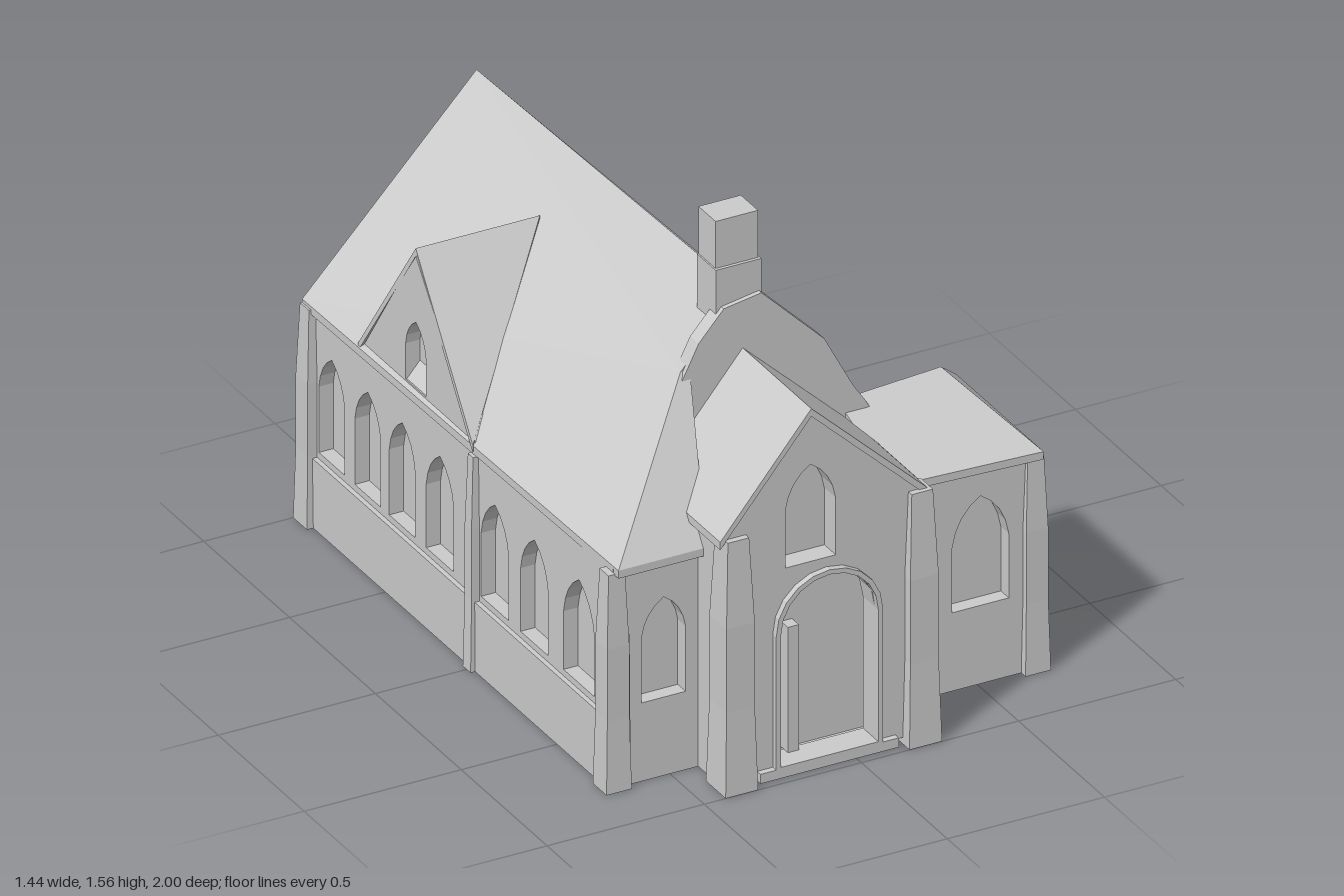
import * as THREE from 'three';

const mat = new THREE.MeshStandardMaterial({ color: 0xcccccc, flatShading: true, side: THREE.DoubleSide });

function add(parent, name, geometry, x = 0, y = 0, z = 0) {
  const m = new THREE.Mesh(geometry, mat);
  m.name = name;
  m.position.set(x, y, z);
  parent.add(m);
  return m;
}

// Pointed-arch outline centred on u, from y0 to the tip y1
function arch(u, w, y0, y1) {
  const h = w / 2, spring = y1 - w * 0.8;
  const p = new THREE.Path();
  p.moveTo(u - h, y0);
  p.lineTo(u + h, y0);
  p.lineTo(u + h, spring);
  p.quadraticCurveTo(u + h * 0.85, y1 - w * 0.25, u, y1);
  p.quadraticCurveTo(u - h * 0.85, y1 - w * 0.25, u - h, spring);
  p.closePath();
  return p;
}

// Round-headed doorway outline
function doorway(u, r, y0, spring) {
  const p = new THREE.Path();
  p.moveTo(u - r, y0);
  p.lineTo(u + r, y0);
  p.lineTo(u + r, spring);
  p.absarc(u, spring, r, 0, Math.PI, false);
  p.closePath();
  return p;
}

// Wall drawn in (u, y), facing local +z, with recessed panes behind its arches.
// windows: [u, width, bottom, top]; open: paths cut right through
function wall(parent, name, points, windows = [], depth = 0.05, open = []) {
  const g = new THREE.Group();
  g.name = name;
  const shape = new THREE.Shape(points.map(p => new THREE.Vector2(...p)));
  shape.holes.push(...windows.map(w => arch(...w)), ...open);
  const geo = new THREE.ExtrudeGeometry(shape, { depth, bevelEnabled: false, curveSegments: 4 });
  add(g, name + 'Stone', geo, 0, 0, -depth);
  windows.forEach(w => {
    const pane = new THREE.ShapeGeometry(new THREE.Shape(arch(...w).getPoints(4)));
    add(g, 'pane', pane, 0, 0, -depth + 0.004);
  });
  parent.add(g);
  return g;
}

// Thin slab on a 3D polygon (fanned from its first corner), thickened downwards
function slab(parent, name, top, t = 0.025) {
  const low = top.map(([x, y, z]) => [x, y - t, z]), n = top.length, v = [];
  for (let i = 1; i < n - 1; i++) {
    v.push(...top[0], ...top[i], ...top[i + 1]);
    v.push(...low[0], ...low[i + 1], ...low[i]);
  }
  for (let i = 0; i < n; i++) {
    const j = (i + 1) % n;
    v.push(...top[i], ...low[i], ...low[j], ...top[i], ...low[j], ...top[j]);
  }
  const geo = new THREE.BufferGeometry();
  geo.setAttribute('position', new THREE.Float32BufferAttribute(v, 3));
  geo.computeVertexNormals();
  add(parent, name, geo);
}

// Buttress: a box whose top narrows and foot flares
function buttress(parent, name, x, z, w, d, h) {
  const geo = new THREE.BoxGeometry(w, h, d, 1, 3, 1);
  const p = geo.attributes.position;
  for (let i = 0; i < p.count; i++) {
    const y = p.getY(i) / h + 0.5;
    const s = y < 0.1 ? 1.15 : y > 0.9 ? 0.75 : 1;
    p.setXYZ(i, p.getX(i) * s, p.getY(i), p.getZ(i) * s);
  }
  geo.computeVertexNormals();
  add(parent, name, geo, x, h / 2, z);
}

export function createModel() {
  const model = new THREE.Group();
  model.name = 'chapel';
  const Q = Math.PI / 2;

  // Nave walls
  const nave = new THREE.Group();
  nave.name = 'nave';
  model.add(nave);
  const left = wall(nave, 'naveLeftWall', [[-0.3, 0], [0.985, 0], [0.98, 0.71], [-0.3, 0.71]],
    [[-0.165, 0.19, 0.25, 0.57], [0.27, 0.17, 0.24, 0.57], [0.5, 0.17, 0.24, 0.57], [0.72, 0.22, 0.24, 0.61]]);
  left.rotation.y = Q;
  left.position.x = 0.355;
  const right = wall(nave, 'naveRightWall',
    [[-0.985, 0], [0.81, 0], [0.8, 0.71], [0, 0.71], [-0.35, 1.14], [-0.67, 0.71], [-0.98, 0.71]],
    [[-0.84, 0.15, 0.24, 0.57], [-0.63, 0.15, 0.24, 0.57], [-0.43, 0.15, 0.24, 0.57], [-0.21, 0.16, 0.24, 0.57],
      [0.11, 0.16, 0.24, 0.57], [0.34, 0.16, 0.24, 0.57], [0.6, 0.18, 0.24, 0.57], [-0.35, 0.12, 0.72, 0.93]]);
  right.rotation.y = -Q;
  right.position.x = -0.68;
  const bandGap = new THREE.Path([[-0.3, 0.22], [0.62, 0.22], [0.62, 0.47], [-0.3, 0.47]].map(p => new THREE.Vector2(...p)));
  const back = wall(nave, 'backGable', [[-0.36, 0], [0.7, 0], [0.68, 0.7], [0.14, 1.27], [-0.35, 0.7]], [], 0.03, [bandGap]);
  back.rotation.y = Math.PI;
  back.position.z = -0.98;
  wall(nave, 'frontGable', [[-0.42, 0.7], [0.35, 0.7], [0.25, 0.88], [0.21, 0.94], [0.12, 1.11], [-0.08, 1.31],
    [-0.2, 1.29], [-0.28, 1.2], [-0.34, 1.08], [-0.42, 0.96]], [], 0.05).position.z = 0.565;
  wall(nave, 'frontRightWall', [[-0.7, 0], [-0.4, 0], [-0.4, 0.71], [-0.68, 0.71]],
    [[-0.52, 0.14, 0.25, 0.57]]).position.z = 0.8;

  // Nave roof, hipped at the front right corner
  const roof = new THREE.Group();
  roof.name = 'roof';
  model.add(roof);
  slab(roof, 'leftSlope', [[-0.14, 1.33, 0.55], [0.12, 1.055, 0.55], [0.12, 1.0, -0.985], [-0.14, 1.285, -0.985]]);
  slab(roof, 'leftLowerSlope', [[0.12, 1.055, 0.55], [0.37, 0.72, 0.55], [0.37, 0.7, -0.985], [0.12, 1.0, -0.985]]);
  slab(roof, 'rightSlope', [[-0.33, 1.115, 0.55], [-0.14, 1.33, 0.55], [-0.14, 1.285, -0.985], [-0.695, 0.7, -0.985], [-0.68, 0.71, 0.83]]);
  slab(roof, 'hip', [[-0.68, 0.71, 0.83], [-0.4, 0.71, 0.83], [-0.3, 1.115, 0.55], [-0.33, 1.115, 0.55]]);
  // Cross gable on the right side
  slab(roof, 'crossGableFront', [[-0.28, 1.16, -0.36], [-0.675, 1.16, -0.36], [-0.69, 0.71, 0]]);
  slab(roof, 'crossGableBack', [[-0.28, 1.16, -0.36], [-0.69, 0.71, -0.67], [-0.675, 1.16, -0.36]]);

  // Chimney stack: shaft and cap
  add(model, 'stack', new THREE.BoxGeometry(0.145, 0.26, 0.11), -0.145, 1.28, 0.495);
  add(model, 'stackCap', new THREE.BoxGeometry(0.135, 0.15, 0.1), -0.145, 1.485, 0.49);

  // Porch
  const porch = new THREE.Group();
  porch.name = 'porch';
  model.add(porch);
  wall(porch, 'porchFront', [[-0.41, 0.02], [0.23, 0.02], [0.22, 0.8], [-0.14, 1.13], [-0.41, 0.8]],
    [[-0.14, 0.16, 0.66, 0.97]], 0.07, [doorway(-0.09, 0.155, 0.04, 0.46)]).position.z = 0.96;
  for (const [x, s] of [[-0.41, -1], [0.23, 1]]) {
    const side = wall(porch, 'porchSide', [[0.55, 0], [0.96, 0], [0.96, 0.8], [0.55, 0.8]].map(([z, y]) => [-s * z, y]));
    side.rotation.y = s * Q;
    side.position.x = x;
  }
  // Doorway: recessed door, raised hood around the arch, sill
  add(porch, 'door', new THREE.BoxGeometry(0.54, 0.66, 0.03), -0.09, 0.34, 0.86);
  add(porch, 'doorPost', new THREE.BoxGeometry(0.035, 0.4, 0.05), -0.17, 0.24, 0.89);
  add(porch, 'sill', new THREE.BoxGeometry(0.44, 0.03, 0.14), -0.09, 0.02, 0.91);
  const hood = new THREE.Shape(doorway(-0.09, 0.17, 0.02, 0.46).getPoints(5));
  hood.holes.push(doorway(-0.09, 0.155, 0.04, 0.46));
  add(porch, 'doorHood', new THREE.ExtrudeGeometry(hood, { depth: 0.02, bevelEnabled: false, curveSegments: 5 }), 0, 0, 0.96);
  for (const x of [-0.38, 0.205]) buttress(porch, 'porchButtress', x, 0.9425, 0.09, 0.1, 0.8);
  // Porch roof
  slab(porch, 'porchRoofRight', [[-0.14, 1.15, 0.55], [-0.14, 1.15, 0.965], [-0.43, 0.8, 0.965], [-0.43, 0.8, 0.55]]);
  slab(porch, 'porchRoofLeft', [[-0.14, 1.15, 0.55], [0.24, 0.79, 0.55], [0.24, 0.79, 0.965], [-0.14, 1.15, 0.965]]);

  // Annex on the left side
  const annex = new THREE.Group();
  annex.name = 'annex';
  model.add(annex);
  wall(annex, 'annexFront', [[0.22, 0], [0.71, 0], [0.69, 0.7], [0.22, 0.7]],
    [[0.51, 0.18, 0.25, 0.6]]).position.z = 0.76;
  const annexSide = wall(annex, 'annexSide', [[-0.76, 0], [-0.27, 0], [-0.27, 0.7], [-0.76, 0.7]],
    [[-0.51, 0.18, 0.24, 0.59]]);
  annexSide.rotation.y = Q;
  annexSide.position.x = 0.695;
  const annexBack = wall(annex, 'annexBack', [[-0.69, 0], [-0.32, 0], [-0.32, 0.7], [-0.69, 0.7]]);
  annexBack.rotation.y = Math.PI;
  annexBack.position.z = 0.28;
  slab(annex, 'annexRoofFront', [[0.18, 0.88, 0.53], [0.23, 0.71, 0.77], [0.7, 0.7, 0.78], [0.51, 0.9, 0.53]]);
  slab(annex, 'annexRoofEnd', [[0.51, 0.9, 0.53], [0.7, 0.7, 0.78], [0.7, 0.7, 0.27]]);
  slab(annex, 'annexRoofBack', [[0.18, 0.88, 0.53], [0.51, 0.9, 0.53], [0.7, 0.7, 0.27], [0.34, 0.71, 0.27]]);

  // Corner and bay buttresses
  for (const [x, z, h] of [[0.68, 0.745, 0.68], [0.68, 0.285, 0.68], [0.335, -0.96, 0.69], [-0.675, -0.96, 0.69], [-0.675, 0.785, 0.69]]) {
    buttress(model, 'cornerButtress', x, z, 0.07, 0.07, h);
  }
  for (const [x, z] of [[0.345, 0], [-0.675, 0]]) {
    buttress(model, 'bayButtress', x, z, 0.06, 0.04, 0.68);
  }
  // Plinths along the long walls
  add(model, 'plinth', new THREE.BoxGeometry(0.02, 0.22, 1.24), 0.357, 0.11, -0.36);
  add(model, 'plinth', new THREE.BoxGeometry(0.02, 0.22, 1.76), -0.685, 0.11, -0.1);
  return model;
}
